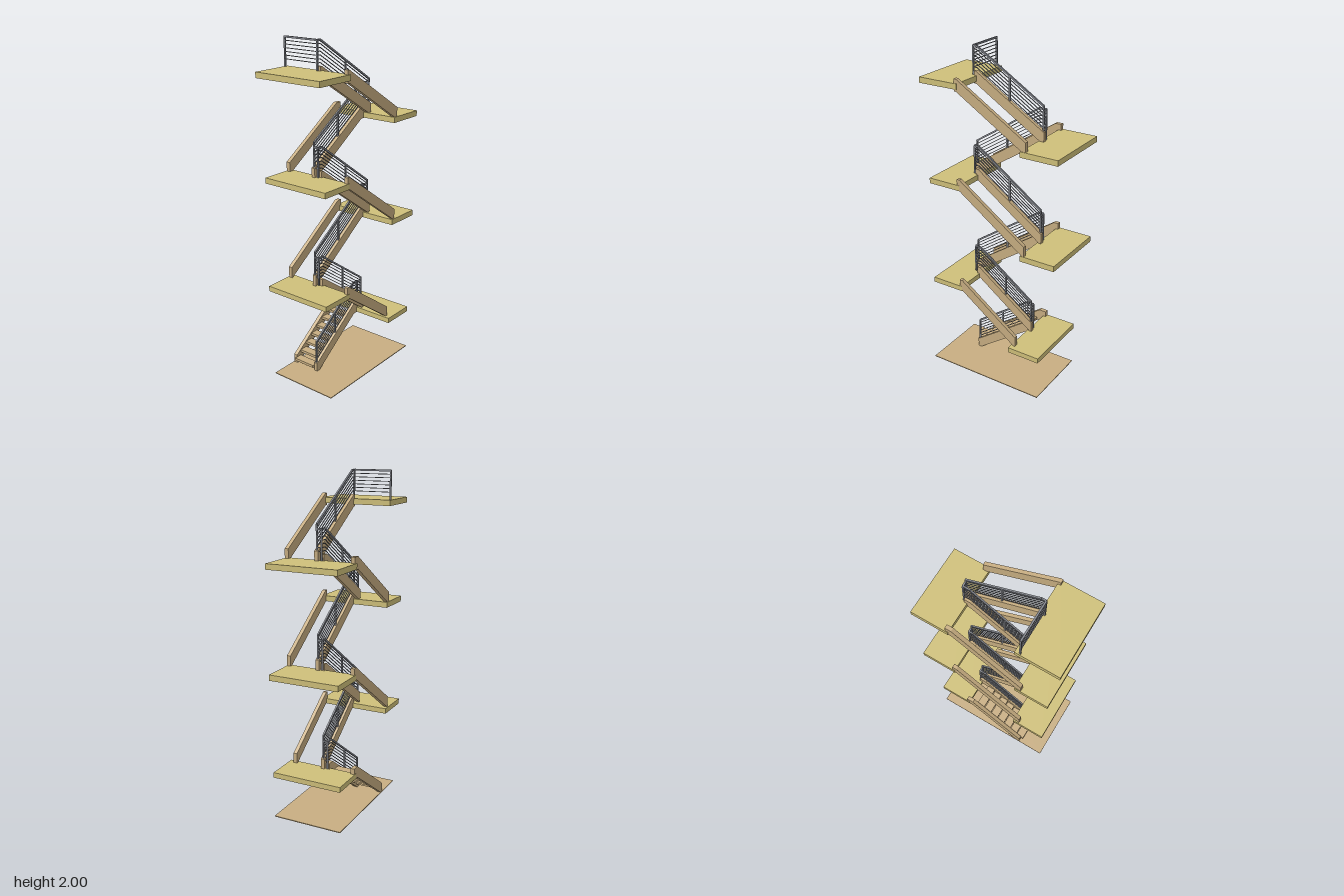
import * as THREE from 'three';

const tan = new THREE.MeshStandardMaterial({ color: 0xc8ae82 });
const olive = new THREE.MeshStandardMaterial({ color: 0xcfc07a });
const steel = new THREE.MeshStandardMaterial({ color: 0x85888f });

// Box given by its minimum and maximum corners
function block(name, mat, x0, x1, y0, y1, z0, z1) {
  const mesh = new THREE.Mesh(new THREE.BoxGeometry(x1 - x0, y1 - y0, z1 - z0), mat);
  mesh.name = name;
  mesh.position.set((x0 + x1) / 2, (y0 + y1) / 2, (z0 + z1) / 2);
  return mesh;
}

// Square bar between two points
function bar(name, a, b, size) {
  const from = new THREE.Vector3(...a), to = new THREE.Vector3(...b);
  const mesh = new THREE.Mesh(new THREE.BoxGeometry(size, size, from.distanceTo(to)), steel);
  mesh.name = name;
  mesh.position.copy(from).lerp(to, 0.5);
  mesh.lookAt(to);
  return mesh;
}

// Top rail with thin bars below it, following a list of points
function railing(points, height) {
  const group = new THREE.Group();
  const count = 7;
  for (let i = 0; i + 1 < points.length; i++) {
    for (let k = 0; k < count; k++) {
      const drop = (height * k) / count;
      const [a, b] = [points[i], points[i + 1]].map(([x, y, z]) => [x, y - drop, z]);
      group.add(bar(k ? 'railingBar' : 'handrail', a, b, k ? 0.004 : 0.01));
    }
  }
  return group;
}

function post(x, yTop, z, height) {
  return bar('railingPost', [x, yTop - height, z], [x, yTop, z], 0.009);
}

// Sloped side beam: level cut at the foot, level top and plumb cut at the head
function stringer(x0, x1, f) {
  const yTop = f.yh - 0.137;
  const slope = (f.yh - f.yl) / (f.zh - f.zl);
  const edge = z => yTop + slope * (z - f.zh);
  const depth = 0.07;
  const footZ = f.zh + (f.y0 + depth - yTop) / slope;
  const profile = [
    [f.zb, f.y0], [f.zb, edge(f.zb)], [f.zh, yTop],
    [f.zt, yTop], [f.zt, yTop - depth], [f.zh, yTop - depth], [footZ, f.y0],
  ];
  const shape = new THREE.Shape(profile.map(([z, y]) => new THREE.Vector2(-z, y)));
  const geo = new THREE.ExtrudeGeometry(shape, { depth: x1 - x0, bevelEnabled: false });
  geo.rotateY(Math.PI / 2);
  const mesh = new THREE.Mesh(geo, tan);
  mesh.name = 'stringer';
  mesh.position.x = x0;
  return mesh;
}

export function createModel() {
  const model = new THREE.Group();
  model.name = 'staircase';
  model.add(block('groundSlab', tan, -0.2, 0.235, 0, 0.005, -0.362, 0.402));

  // Landings: x0, x1, bottom, top, z0, z1
  [
    [-0.2, 0.235, 0.253, 0.285, -0.363, -0.157],
    [-0.228, 0.205, 0.544, 0.576, 0.195, 0.403],
    [-0.225, 0.205, 0.876, 0.91, -0.435, -0.215],
    [-0.226, 0.205, 1.207, 1.24, 0.195, 0.404],
    [-0.226, 0.207, 1.5, 1.533, -0.443, -0.212],
    [-0.235, 0.208, 1.8, 1.833, 0.192, 0.444],
  ].forEach(p => model.add(block('landing', olive, ...p)));

  // Flights: foot level y0, stringer ends zb and zt,
  // handrail slope (zl, yl) to (zh, yh), then level to ze
  const flights = [
    { y0: 0.004, zb: 0.233, zt: -0.175, zl: 0.225, yl: 0.2, zh: -0.13, yh: 0.457, ze: -0.175 },
    { y0: 0.285, zb: -0.185, zt: 0.21, zl: -0.175, yl: 0.49, zh: 0.192, yh: 0.755, ze: 0.228 },
    { y0: 0.576, zb: 0.235, zt: -0.23, zl: 0.228, yl: 0.785, zh: -0.202, yh: 1.085, ze: -0.23 },
    { y0: 0.91, zb: -0.24, zt: 0.21, zl: -0.23, yl: 1.115, zh: 0.192, yh: 1.412, ze: 0.223 },
    { y0: 1.24, zb: 0.233, zt: -0.23, zl: 0.223, yl: 1.437, zh: -0.192, yh: 1.705, ze: -0.235 },
    { y0: 1.533, zb: -0.245, zt: 0.21, zl: -0.235, yl: 1.73, zh: 0.197, yh: 1.995, ze: 0.22 },
  ];
  const xOdd = -0.023, xEven = 0.005, height = 0.14;

  flights.forEach((f, i) => {
    const flight = new THREE.Group();
    flight.name = 'flight';
    const odd = i % 2 === 0;
    const x = odd ? xOdd : xEven;
    if (odd) {
      const outer = i === 0 ? -0.198 : -0.222;
      flight.add(stringer(outer, outer + 0.024, f), stringer(-0.034, -0.012, f));
    } else {
      flight.add(stringer(-0.006, 0.017, f), stringer(0.18, 0.203, f));
    }

    // Handrail runs up the slope, levels out and turns to the next flight
    const path = [[x, f.yl, f.zl], [x, f.yh, f.zh], [x, f.yh, f.ze]];
    path.push([i === 5 ? -0.225 : odd ? xEven : xOdd, f.yh, f.ze]);
    const rail = railing(path, height);
    rail.name = 'railing';
    rail.add(post(x, f.yl, f.zl, height + 0.03));
    rail.add(post(x, (f.yl + f.yh) / 2, (f.zl + f.zh) / 2, height + 0.01));
    rail.add(post(x, f.yh, f.ze, height + 0.03));
    flight.add(rail);
    model.add(flight);
  });

  // End post of the guard across the top landing
  model.add(post(-0.225, 1.999, 0.22, 0.166));

  // Treads of the first flight
  for (let k = 0; k < 7; k++) {
    const z = 0.224 - 0.0515 * k, y = 0.036 * (k + 1);
    model.add(block('tread', tan, -0.176, -0.033, y - 0.008, y + 0.008, z - 0.026, z + 0.026));
  }
  return model;
}
